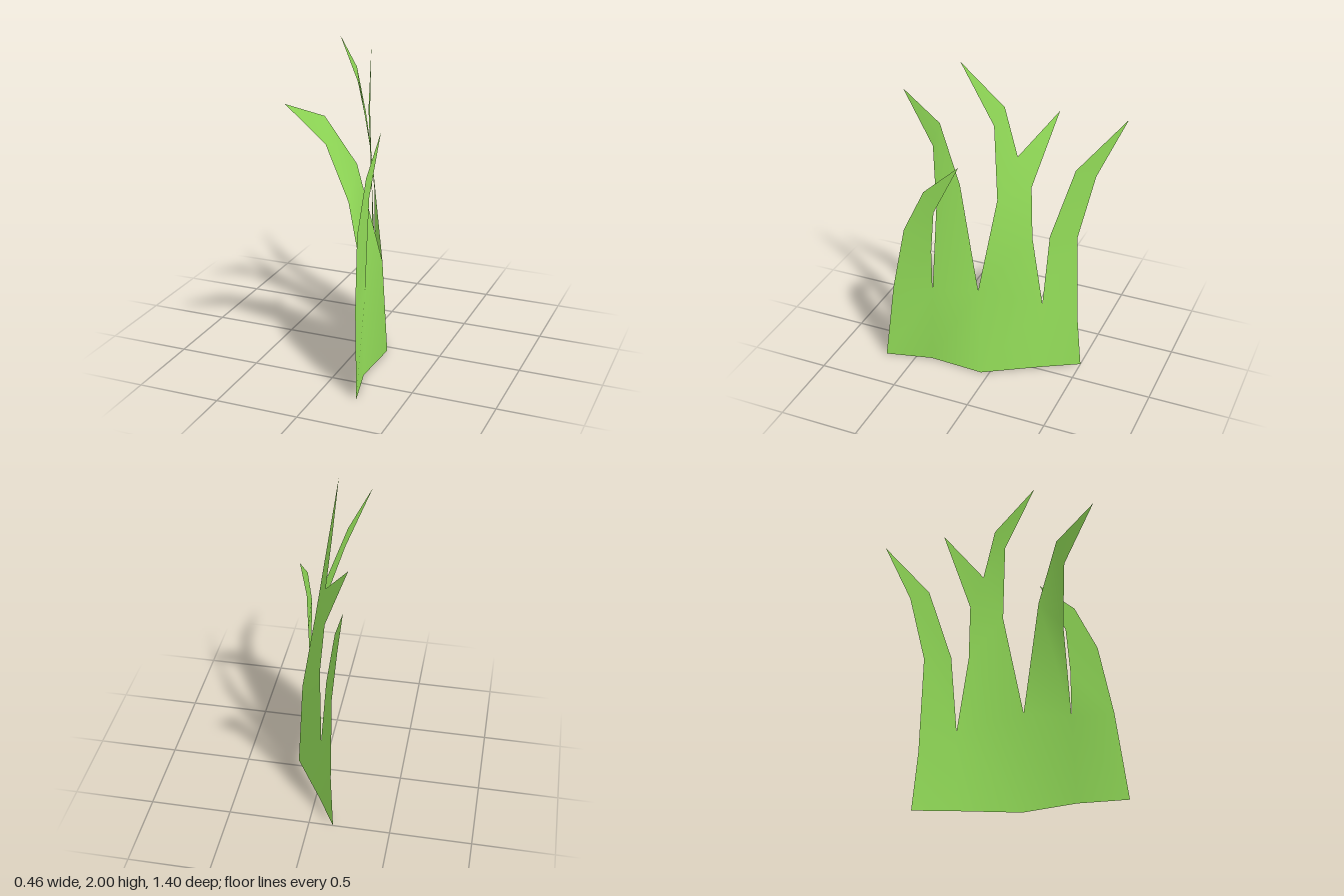
import * as THREE from 'three';

const grassGreen = new THREE.MeshStandardMaterial({ color: 0x97e35b, side: THREE.DoubleSide });
grassGreen.name = 'grassGreen';

// Points shared by neighbouring blades: the foot of the sheet and the notches
const foot = [[0.23, 0, 0.69], [0.16, 0, 0.4], [0.175, 0, 0.05], [-0.02, 0, -0.27], [-0.15, 0, -0.5]];
const notchFront = [0.16, 0.52, 0.38];
const notchMiddle = [0.15, 0.6, 0.075];
const notchBack = [-0.035, 0.48, -0.275];
const fork = [-0.03, 1.47, -0.105];
const forkRoot = [-0.04, 1.28, -0.19];
const forkEdge = [-0.01, 1.65, 0.035];

// Each blade is a ladder of rungs [front edge, back edge]; a single point is a tip
const blades = [
  // front blade, curling back
  [[foot[0], foot[1]], [[0.2, 0.52, 0.63], notchFront],
    [[0.18, 0.94, 0.55], [0.17, 0.82, 0.375]],
    [[0.177, 1.23, 0.41], [0.173, 1.1, 0.35]], [[0.177, 1.44, 0.18]]],
  // wide blade, bending forward and sideways
  [[foot[1], foot[2]], [notchFront, notchMiddle],
    [[0.06, 1.07, 0.385], [0.05, 1.25, 0.23]],
    [[-0.05, 1.42, 0.45], [-0.07, 1.57, 0.41]], [[-0.175, 1.7, 0.7]]],
  // tall forked blade
  [[foot[2], foot[3]], [notchMiddle, notchBack],
    [[0.05, 1.2, -0.01], [-0.015, 0.95, -0.21]],
    [[0.05, 1.2, -0.01], forkRoot], [forkEdge, fork],
    [forkEdge, [-0.05, 1.76, -0.015]], [[-0.04, 2, 0.255]]],
  // short prong of the fork
  [[fork, forkRoot], [[-0.19, 1.73, -0.3]]],
  // back blade
  [[foot[3], foot[4]], [notchBack, [-0.13, 0.36, -0.475]],
    [[-0.07, 0.95, -0.3], [-0.13, 0.95, -0.455]],
    [[-0.14, 1.39, -0.425], [-0.175, 1.36, -0.54]], [[-0.23, 1.73, -0.7]]],
];

// Joins all ladders into one smooth sheet, sharing equal points
function bladeSheet(ladders) {
  const positions = [], index = [], known = new Map();
  const vertex = (p) => {
    const key = p.join();
    if (!known.has(key)) {
      known.set(key, positions.length / 3);
      positions.push(...p);
    }
    return known.get(key);
  };
  const triangle = (a, b, c) => {
    if (a !== b && b !== c && a !== c) index.push(a, b, c);
  };
  for (const rungs of ladders) {
    for (let i = 0; i + 1 < rungs.length; i++) {
      const [a, b] = rungs[i].map(vertex);
      const [d, c = d] = rungs[i + 1].map(vertex);
      triangle(a, b, c);
      triangle(a, c, d);
    }
  }
  const geometry = new THREE.BufferGeometry();
  geometry.setAttribute('position', new THREE.Float32BufferAttribute(positions, 3));
  geometry.setIndex(index);
  geometry.computeVertexNormals();
  return geometry;
}

export function createModel() {
  const group = new THREE.Group();
  group.name = 'grassTuft';
  const sheet = new THREE.Mesh(bladeSheet(blades), grassGreen);
  sheet.name = 'grassBlades';
  group.add(sheet);
  return group;
}
